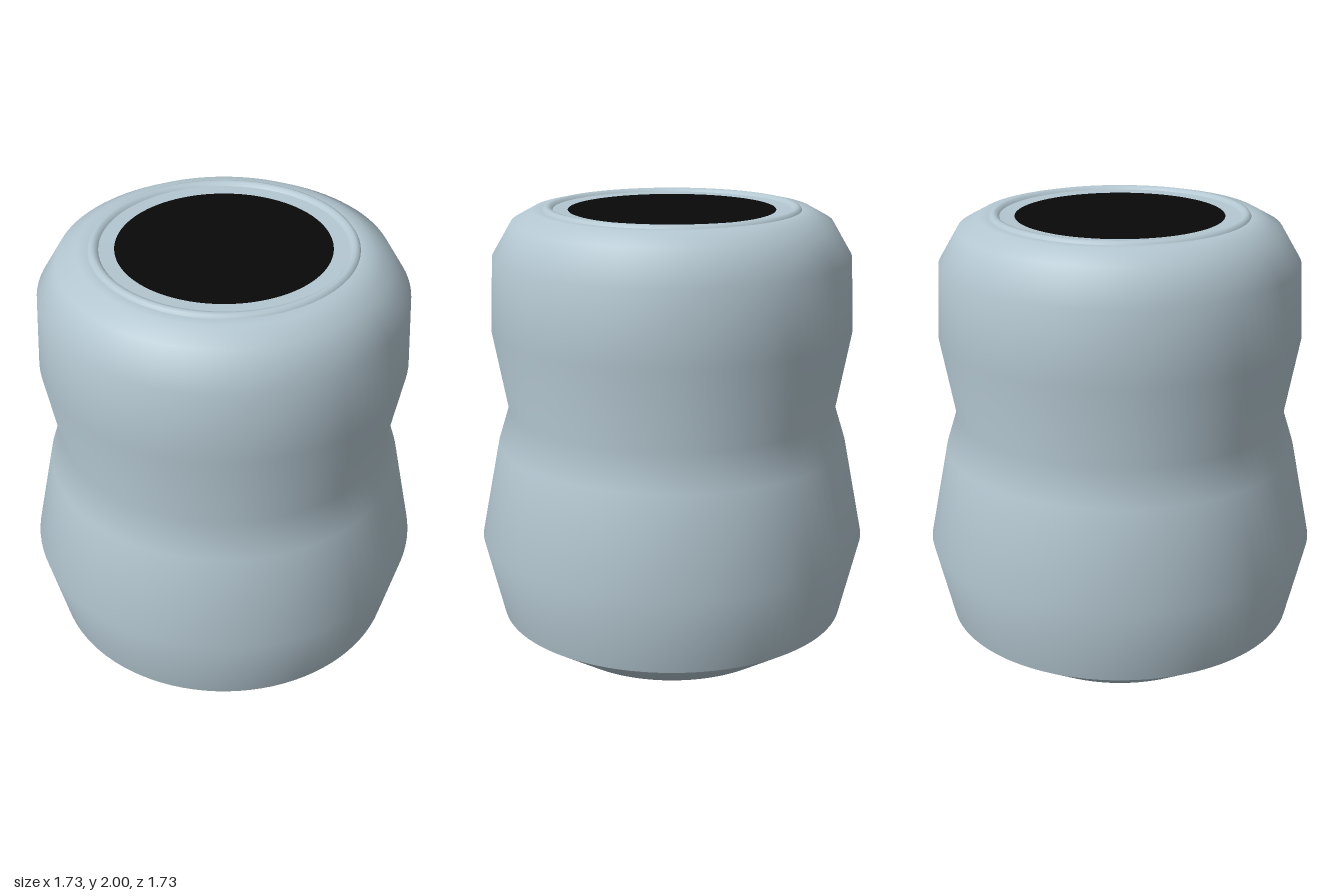
import * as THREE from 'three';

const shell = new THREE.MeshStandardMaterial({ color: 0xb4c7d1 });
shell.name = 'pale blue grey';
const black = new THREE.MeshStandardMaterial({ color: 0x080808 });
black.name = 'black';

// Revolves a profile of [radius, height] points, listed from bottom to top
function lathe(name, profile, material = shell) {
  const points = profile.map(([r, y]) => new THREE.Vector2(r, y));
  const mesh = new THREE.Mesh(new THREE.LatheGeometry(points, 96), material);
  mesh.name = name;
  return mesh;
}

export function createModel() {
  const group = new THREE.Group();
  group.name = 'jar';

  // Tapered underside, with a sharp edge where it meets the wall
  group.add(lathe('base', [[0, 0], [0.54, 0], [0.78, 0.16]]));

  // Waisted wall running smoothly into the shoulder
  group.add(lathe('body', [
    [0.78, 0.16], [0.865, 0.52], [0.78, 0.95], [0.73, 1.11],
    [0.795, 1.47], [0.78, 1.79], [0.695, 1.935], [0.605, 1.985], [0.56, 1.985],
  ]));

  // Raised lip around the opening
  group.add(lathe('rim', [
    [0.56, 1.985], [0.553, 1.996], [0.54, 2], [0.525, 1.997], [0.515, 1.985],
  ]));

  // Flat ledge inside the lip
  group.add(lathe('ledge', [[0.515, 1.985], [0.45, 1.983]]));

  // Dark disc filling the opening
  group.add(lathe('opening', [[0.45, 1.983], [0, 1.983]], black));

  return group;
}
